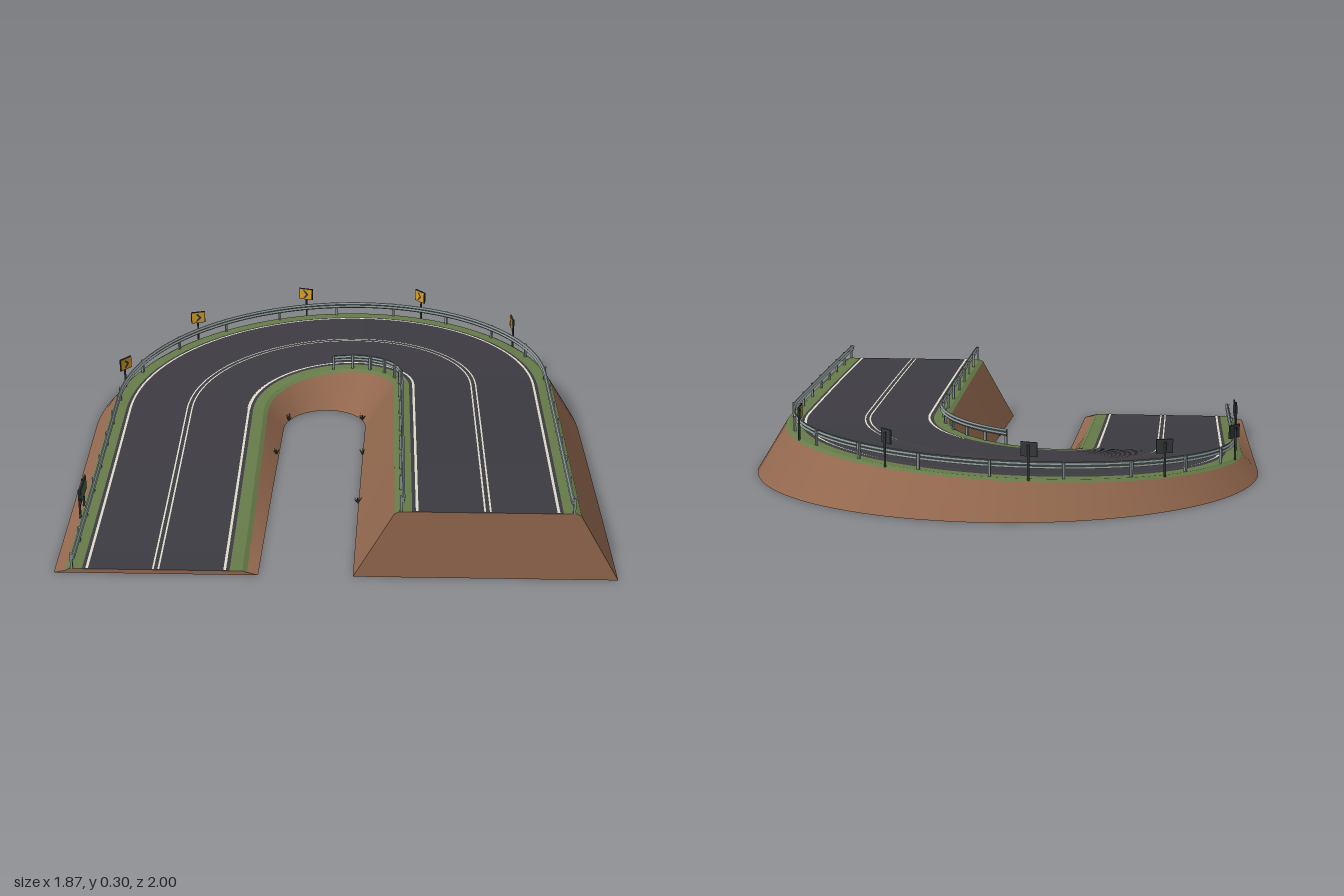
import * as THREE from 'three';
import { mergeGeometries } from 'three/addons/utils/BufferGeometryUtils.js';

// Path: left arm, half circle, right arm, climbing all the way
const CX = -0.035, CZ = -0.08, R = 0.54, ARM = 1.08;
const ARC = Math.PI * R, LEN = 2 * ARM + ARC;
const EDGE = 0.3, DROP = 0.008;

const mat = (name, color, side = THREE.FrontSide) => {
  const m = new THREE.MeshStandardMaterial({ color, side });
  m.name = name;
  return m;
};

// Road height at distance s
function heightAt(s) {
  const t = s / LEN;
  return 0.015 + 0.23 * (0.7 * t + 0.3 * t * t * (3 - 2 * t));
}
// Point at distance s, sideways offset o (positive is the outside of the bend)
function pointAt(s, o, y) {
  const r = R + o;
  if (s < ARM) return new THREE.Vector3(CX - r, y, CZ + ARM - s);
  if (s > ARM + ARC) return new THREE.Vector3(CX + r, y, CZ + s - ARM - ARC);
  const a = (s - ARM) / R;
  return new THREE.Vector3(CX - r * Math.cos(a), y, CZ - r * Math.sin(a));
}
// Turn about y that points local +x along the direction of travel
function headingAt(s) {
  const a = THREE.MathUtils.clamp((s - ARM) / R, 0, Math.PI);
  return Math.PI / 2 - a;
}

function geometryFrom(points, index) {
  const g = new THREE.BufferGeometry().setFromPoints(points);
  g.setIndex(index);
  g.computeVertexNormals();
  return g;
}
// Sweep a cross-section along the path; section(s) gives [offset, y] from inside to outside
function sweep(section, s0, s1, { closed = false, caps = false, n = 120 } = {}) {
  const rings = [];
  for (let i = 0; i <= n; i++) {
    const s = s0 + (s1 - s0) * i / n;
    rings.push(section(s).map(([o, y]) => pointAt(s, o, y)));
  }
  const parts = [], count = rings[0].length;
  for (let k = 0; k < (closed ? count : count - 1); k++) {
    const pts = [], idx = [];
    rings.forEach((ring, i) => {
      pts.push(ring[k], ring[(k + 1) % count]);
      const a = 2 * i;
      if (i < n) idx.push(a, a + 2, a + 3, a, a + 3, a + 1);
    });
    parts.push(geometryFrom(pts, idx));
  }
  if (caps) {
    const fan = [], back = [];
    for (let k = 1; k < count - 1; k++) {
      fan.push(0, k, k + 1);
      back.push(0, k + 1, k);
    }
    parts.push(geometryFrom(rings[0], fan), geometryFrom(rings[n], back));
  }
  return mergeGeometries(parts);
}

export function createModel() {
  const earth = mat('earth brown', 0x94694f);
  const underside = mat('underside soil', 0x5c594b);
  const asphalt = mat('asphalt', 0x3d3b42);
  const grass = mat('grass green', 0x667b49);
  const paint = mat('line paint', 0xdcd9cc);
  const steel = mat('rail steel', 0x84908f);
  const dark = mat('dark metal', 0x35393b);
  const yellow = mat('sign yellow', 0xdba028);
  const board = mat('board green', 0x3f6148);
  const shrub = mat('dry shrub', 0x4b4e33, THREE.DoubleSide);

  const model = new THREE.Group();
  const add = (name, geometry, material, parent = model) => {
    const m = new THREE.Mesh(geometry, material);
    m.name = name;
    parent.add(m);
    return m;
  };

  // Embankment
  const foot = s => EDGE + 0.03 + 0.42 * heightAt(s);
  const top = s => heightAt(s) - DROP;
  add('innerSlope', sweep(s => [[-foot(s), 0], [-EDGE, top(s)]], 0, LEN), earth);
  add('outerSlope', sweep(s => [[EDGE, top(s)], [foot(s), 0]], 0, LEN), earth);
  add('base', sweep(s => [[foot(s), 0], [-foot(s), 0]], 0, LEN), underside);
  const endSection = s => [[-foot(s), 0], [-EDGE, top(s)], [-0.285, heightAt(s)],
    [0.285, heightAt(s)], [EDGE, top(s)], [foot(s), 0]];
  for (const [name, s, flip] of [['lowEnd', 0, false], ['highEnd', LEN, true]]) {
    const pts = endSection(s).map(([o, y]) => pointAt(s, o, y)), idx = [];
    for (let k = 1; k < pts.length - 1; k++) idx.push(0, ...(flip ? [k + 1, k] : [k, k + 1]));
    add(name, geometryFrom(pts, idx), earth);
  }

  // Road surface, verges and painted lines
  const ribbon = (a, b, dy) => sweep(s => [[a, heightAt(s) + dy], [b, heightAt(s) + dy]], 0, LEN);
  add('roadSurface', ribbon(-0.243, 0.243, 0), asphalt);
  add('outerVerge', sweep(s => [[0.243, heightAt(s)], [0.285, heightAt(s)], [EDGE, top(s)]], 0, LEN), grass);
  add('innerVerge', sweep(s => [[-EDGE, top(s)], [-0.285, heightAt(s)], [-0.243, heightAt(s)]], 0, LEN), grass);
  for (const o of [-0.227, 0.227]) add('edgeLine', ribbon(o - 0.006, o + 0.006, 0.003), paint);
  for (const o of [-0.009, 0.009]) add('centreLine', ribbon(o - 0.0045, o + 0.0045, 0.003), paint);

  // Guard rails: corrugated beam on posts; side is -1 for the inside of the bend
  function guardRail(name, o, side, s0, s1) {
    const rail = new THREE.Group();
    rail.name = name;
    model.add(rail);
    const face = [[0, 0.032], [-0.006, 0.038], [0, 0.044], [-0.006, 0.050], [0, 0.056]];
    const shape = [...face, ...face.map(([x, y]) => [x + 0.004, y]).reverse()];
    const outline = side > 0 ? shape : shape.map(([x, y]) => [-x, y]).reverse();
    add(name + 'Beam', sweep(s => outline.map(([x, y]) => [o + x, heightAt(s) + y]), s0, s1,
      { closed: true, caps: true }), steel, rail);
    const count = Math.round((s1 - s0) / 0.16);
    for (let i = 0; i <= count; i++) {
      const s = s0 + 0.006 + (s1 - s0 - 0.012) * i / count;
      const post = add(name + 'Post', new THREE.BoxGeometry(0.009, 0.062, 0.008), steel, rail);
      post.position.copy(pointAt(s, o + side * 0.007, heightAt(s) + 0.023));
      post.rotation.y = headingAt(s);
    }
  }
  guardRail('outerRail', 0.27, 1, 0, LEN);
  guardRail('innerRail', -0.272, -1, LEN / 2, LEN);

  // Bend signs with a chevron, turned towards oncoming traffic
  const chevron = new THREE.Shape([[-0.012, 0.016], [-0.002, 0.016], [0.013, 0], [-0.002, -0.016],
    [-0.012, -0.016], [0.002, 0]].map(([x, y]) => new THREE.Vector2(x, y)));
  for (let i = 0; i < 5; i++) {
    const a = THREE.MathUtils.degToRad(13 + 34 * i), s = ARM + a * R;
    const sign = new THREE.Group();
    sign.name = 'bendSign';
    sign.position.copy(pointAt(s, 0.287, heightAt(s)));
    sign.rotation.y = headingAt(s) - THREE.MathUtils.degToRad(25);
    model.add(sign);
    add('signPost', new THREE.CylinderGeometry(0.004, 0.004, 0.12, 8), dark, sign).position.set(0, 0.052, -0.006);
    add('signBack', new THREE.BoxGeometry(0.058, 0.048, 0.005), dark, sign).position.y = 0.098;
    add('signFace', new THREE.BoxGeometry(0.052, 0.042, 0.002), yellow, sign).position.set(0, 0.098, 0.003);
    add('signChevron', new THREE.ShapeGeometry(chevron), dark, sign).position.set(0, 0.098, 0.0055);
  }

  // Information board beside the lower arm
  const info = new THREE.Group();
  info.name = 'infoBoard';
  info.position.set(-0.868, 0.02, 0.635);
  info.rotation.y = Math.PI / 2;
  model.add(info);
  add('boardBack', new THREE.BoxGeometry(0.12, 0.055, 0.005), dark, info).position.y = 0.09;
  add('boardFace', new THREE.BoxGeometry(0.112, 0.047, 0.002), board, info).position.set(0, 0.09, 0.003);
  for (const x of [-0.04, 0.04])
    add('boardPost', new THREE.CylinderGeometry(0.004, 0.004, 0.12, 8), dark, info).position.set(x, 0.05, -0.006);

  // Shrubs at the foot of the inner slope
  const spots = [[-0.2, -0.14], [0.085, -0.15], [-0.23, 0.15], [0.09, 0.14], [0.08, 0.51]];
  spots.forEach(([x, z], j) => {
    const tuft = new THREE.Group();
    tuft.name = 'shrub';
    tuft.position.set(x, 0.004, z);
    model.add(tuft);
    for (let i = 0; i < 7; i++) {
      const blade = new THREE.ConeGeometry(0.003, 0.026, 4).translate(0, 0.013, 0);
      const twig = add('twig', blade, shrub, tuft);
      twig.rotation.set(0, i * 0.9 + j, 0.35 + 0.12 * (i % 4), 'YXZ');
    }
  });

  return model;
}
